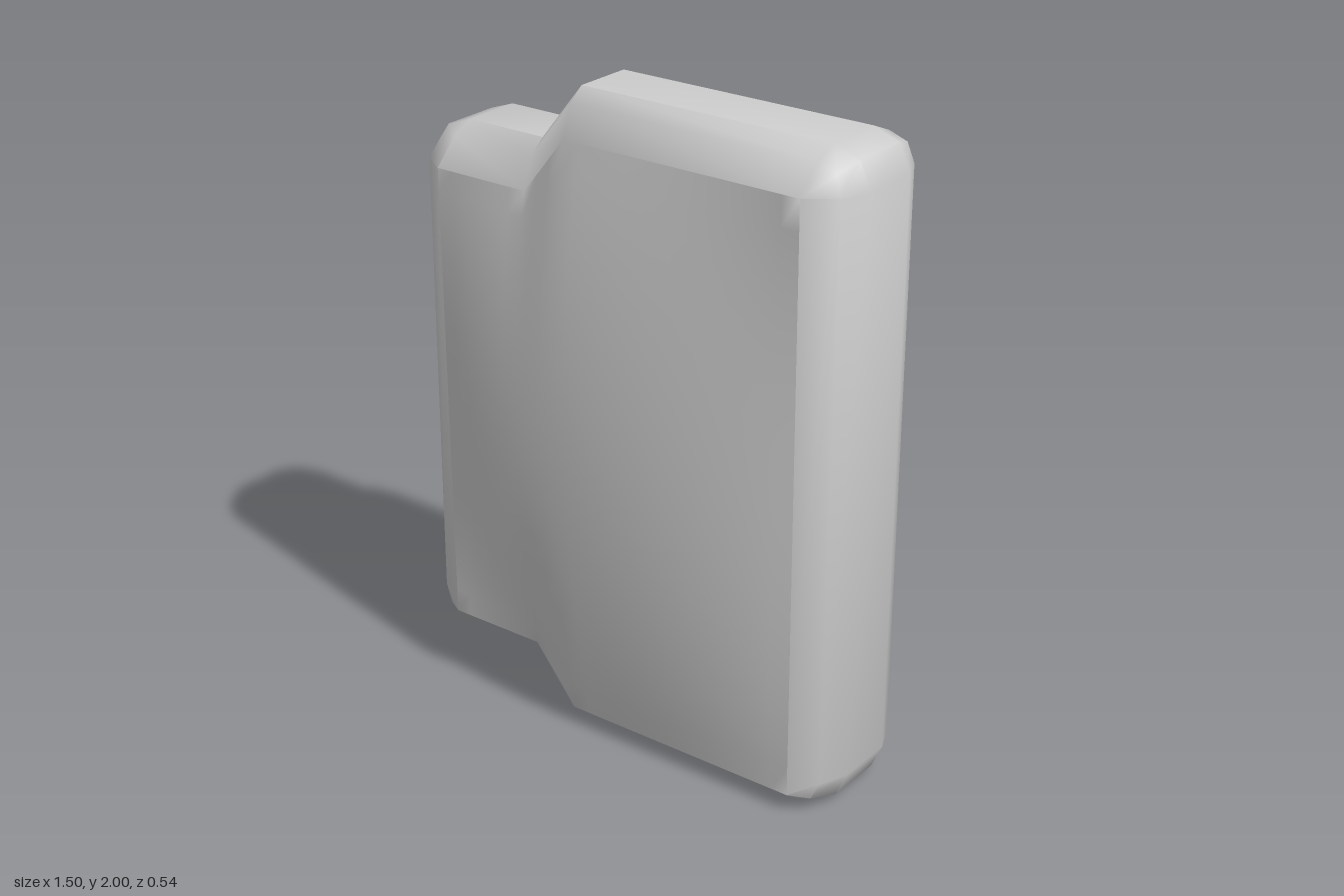
import * as THREE from 'three';
import { toCreasedNormals } from 'three/addons/utils/BufferGeometryUtils.js';

// Top half of the outline, left to right: [coreX, coreY, offsetX, offsetY].
// The outline is core + offset; insetting scales the offset down.
const TOP = [
  [-0.63, 1.71, -0.12, 0], [-0.63, 1.71, -0.085, 0.08], [-0.63, 1.71, 0, 0.11],
  [-0.302, 1.71, -0.053, 0.11], [-0.157, 1.89, -0.053, 0.11],
  [0.63, 1.89, 0, 0.11], [0.63, 1.89, 0.085, 0.08], [0.63, 1.89, 0.12, 0],
];
// Clockwise outline as seen from the front, mirrored about y = 1
const OUTLINE = [
  ...TOP.map(p => [...p, true]),
  ...TOP.slice().reverse().map(([x, y, ox, oy]) => [x, 2 - y, ox, -oy, false]),
];

const LIP = 0.05; // the front panel reaches lower than the back panel
const frontZ = y => 0.165 + 0.01 * y;

const ring = (s, z) => OUTLINE.map(([x, y, ox, oy]) => [x + ox * s, y + oy * s, z]);

function makeShell() {
  const pos = [];
  const quad = (a, b, c, d) => pos.push(...a, ...b, ...c, ...a, ...c, ...d);

  // Rounded rim, from back to front
  const shoulder = OUTLINE.map(([x, y, ox, oy, top]) => {
    const z = Math.abs(oy) < 0.01 ? 0.125 : top ? 0.105 : 0.13;
    return [x + ox * 0.7, y + oy * 0.7, z];
  });
  const frontEdge = OUTLINE.map(([x, y, , , top]) => {
    const yy = top ? y : y - LIP;
    return [x, yy, frontZ(yy)];
  });
  const rings = [ring(0, -0.27), ring(0.7, -0.235), ring(1, -0.155), ring(1, 0.035), shoulder, frontEdge];
  for (let i = 0; i < rings.length - 1; i++) {
    for (let j = 0; j < OUTLINE.length; j++) {
      const k = (j + 1) % OUTLINE.length;
      quad(rings[i][j], rings[i + 1][j], rings[i + 1][k], rings[i][k]);
    }
  }

  // Panels: columns across the stepped outline
  const topAt = x => 1.71 + 0.18 * THREE.MathUtils.clamp((x + 0.302) / 0.145, 0, 1);
  const columns = [];
  const spans = [[-0.63, -0.302, 6], [-0.302, -0.157, 3], [-0.157, 0.63, 14]];
  for (const [a, b, n] of spans) for (let i = 0; i < n; i++) columns.push(a + (b - a) * i / n);
  columns.push(0.63);
  const ROWS = 20;
  const panelPoint = (x, t, front) => {
    const hi = topAt(x), lo = 2 - hi - (front ? LIP : 0);
    const y = lo + (hi - lo) * t;
    const bulge = 0.093 * (1 - (x / 0.63) ** 2) * 4 * t * (1 - t);
    return [x, y, front ? frontZ(y) + bulge : -0.27];
  };
  for (let i = 0; i < columns.length - 1; i++) {
    for (let r = 0; r < ROWS; r++) {
      for (const front of [true, false]) {
        const p = (c, row) => panelPoint(columns[c], row / ROWS, front);
        const [a, b, c, d] = [p(i, r), p(i + 1, r), p(i + 1, r + 1), p(i, r + 1)];
        if (front) quad(a, b, c, d); else quad(d, c, b, a);
      }
    }
  }

  const g = new THREE.BufferGeometry();
  g.setAttribute('position', new THREE.Float32BufferAttribute(pos, 3));
  return toCreasedNormals(g, 0.85);
}

export function createModel() {
  const group = new THREE.Group();
  group.name = 'steppedCase';
  const grey = new THREE.MeshStandardMaterial({ color: 0xcccccc });
  grey.name = 'light grey';
  const shell = new THREE.Mesh(makeShell(), grey);
  shell.name = 'caseShell';
  group.add(shell);
  return group;
}
